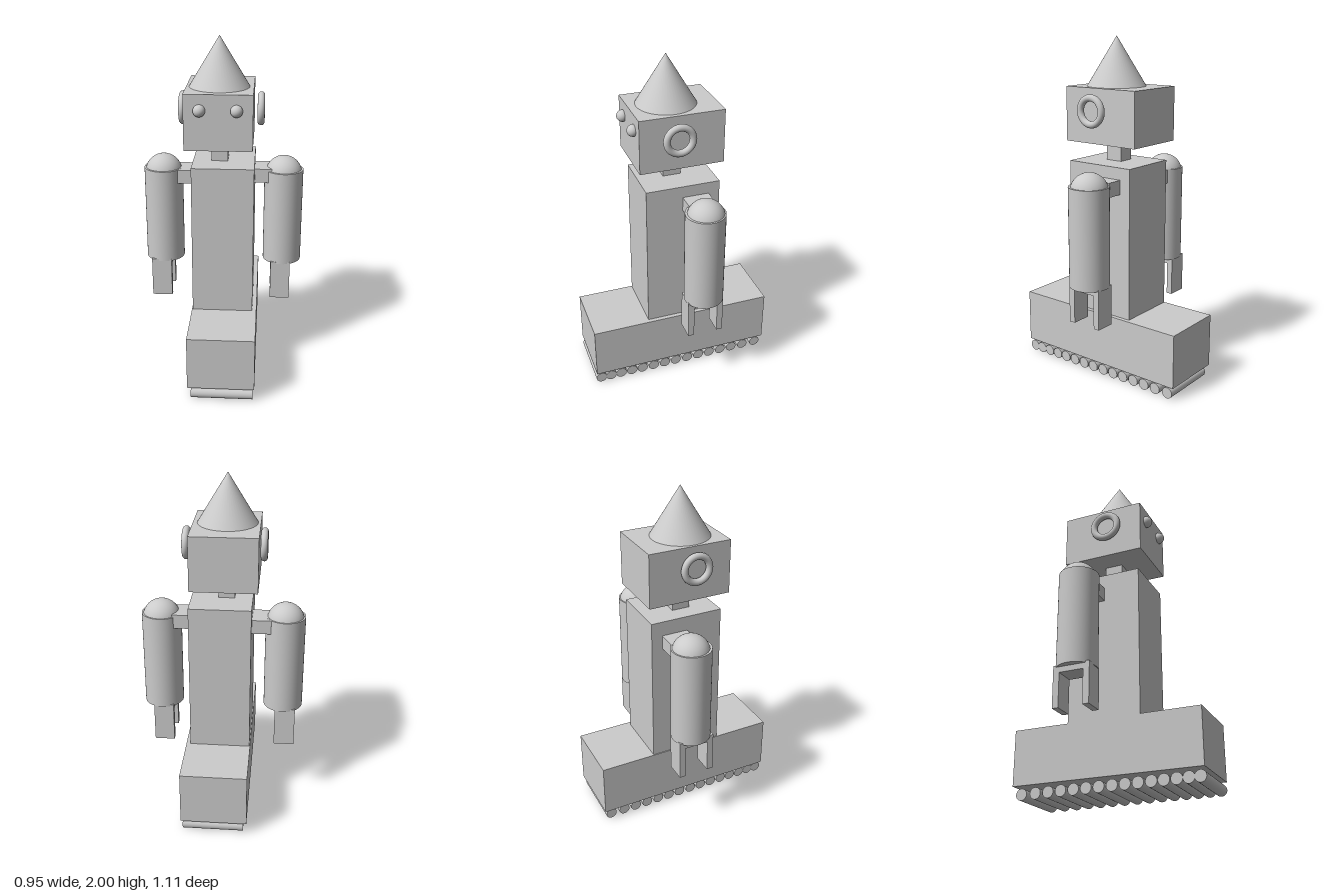
import * as THREE from 'three';

export function createModel() {
  const model = new THREE.Group();
  model.name = 'robot';
  const material = new THREE.MeshStandardMaterial({ color: 0xcccccc });

  function add(name, geometry, x, y, z, parent = model) {
    const mesh = new THREE.Mesh(geometry, material);
    mesh.name = name;
    mesh.position.set(x, y, z);
    parent.add(mesh);
    return mesh;
  }

  // Box given by its extents along each axis
  function block(name, [x0, x1], [y0, y1], [z0, z1], parent) {
    return add(name, new THREE.BoxGeometry(x1 - x0, y1 - y0, z1 - z0),
      (x0 + x1) / 2, (y0 + y1) / 2, (z0 + z1) / 2, parent);
  }

  // Main body blocks
  block('base', [-0.175, 0.21], [0.08, 0.4], [-0.555, 0.555]);
  block('torso', [-0.17, 0.185], [0.4, 1.29], [-0.225, 0.21]);
  block('neck', [-0.065, 0.03], [1.29, 1.405], [-0.045, 0.06]);
  block('head', [-0.205, 0.175], [1.403, 1.718], [-0.25, 0.24]);

  // Pointed hat
  add('hat', new THREE.ConeGeometry(0.172, 0.284, 48), -0.019, 1.858, 0.025);

  // Eyes
  for (const x of [-0.117, 0.086]) {
    add('eye', new THREE.SphereGeometry(0.034, 24, 16), x, 1.63, 0.247);
  }

  // Ring ears
  for (const x of [-0.227, 0.216]) {
    add('ear', new THREE.TorusGeometry(0.075, 0.02, 16, 40), x, 1.593, 0.024).rotation.y = Math.PI / 2;
  }

  // Unevenly spaced rollers under the base
  const rollerZ = [0.525, 0.463, 0.398, 0.328, 0.259, 0.185, 0.111, 0.037,
    -0.04, -0.115, -0.19, -0.267, -0.344, -0.423, -0.509];
  for (const z of rollerZ) {
    add('roller', new THREE.CylinderGeometry(0.033, 0.033, 0.355, 24), 0.023, 0.036, z).rotation.z = Math.PI / 2;
  }

  // Arms: shoulder bar, sleeve, domed top and two-pronged hand
  function arm(name, x, bar, barY, hand) {
    const group = new THREE.Group();
    group.name = name;
    model.add(group);
    block('shoulderBar', bar, barY, [-0.16, -0.005], group);
    add('sleeve', new THREE.CylinderGeometry(0.115, 0.115, 0.575, 40), x, 0.9175, -0.076, group);
    add('shoulderDome', new THREE.SphereGeometry(0.109, 32, 20), x, 1.174, -0.079, group);
    block('handBar', hand, [0.598, 0.64], [-0.181, 0.034], group);
    block('frontProng', hand, [0.4, 0.6], [-0.003, 0.034], group);
    block('backProng', hand, [0.4, 0.6], [-0.181, -0.145], group);
  }
  arm('rightArm', -0.361, [-0.28, -0.165], [1.122, 1.204], [-0.435, -0.315]);
  arm('leftArm', 0.356, [0.18, 0.285], [1.138, 1.221], [0.289, 0.406]);

  return model;
}
